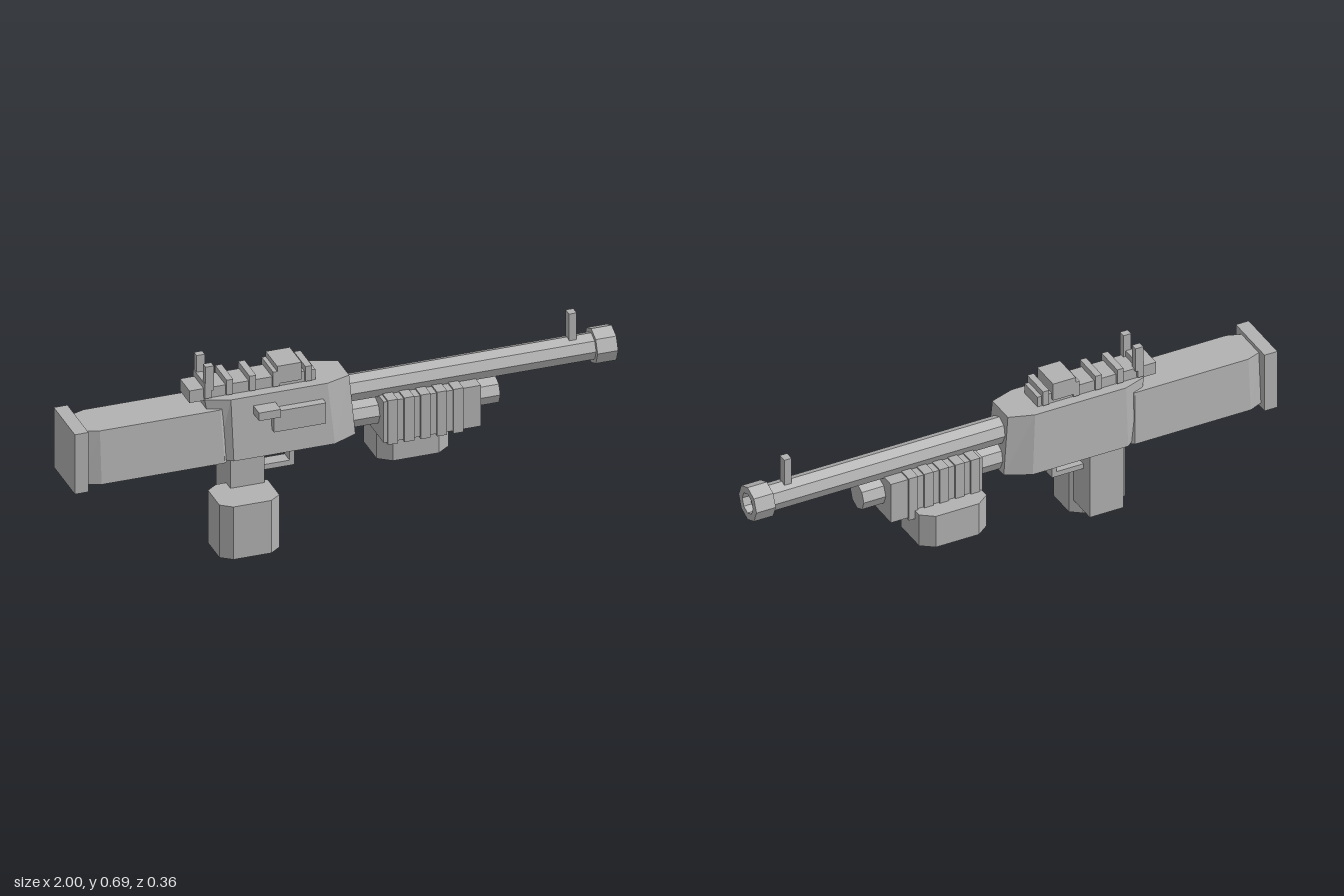
import * as THREE from 'three';

const MID = -0.022; // z of the centre plane of the main body

export function createModel() {
  const group = new THREE.Group();
  const grey = new THREE.MeshStandardMaterial({ color: 0xb2b2b2, flatShading: true });
  grey.name = 'plain grey';

  const add = (name, geometry) => {
    const mesh = new THREE.Mesh(geometry, grey);
    mesh.name = name;
    group.add(mesh);
    return mesh;
  };

  // Box given by its limits on each axis
  const box = (name, x0, x1, y0, y1, z0, z1) => {
    const mesh = add(name, new THREE.BoxGeometry(x1 - x0, y1 - y0, z1 - z0));
    mesh.position.set((x0 + x1) / 2, (y0 + y1) / 2, (z0 + z1) / 2);
  };

  // Eight-sided plan outline: half width hw, ends cut in by c0/c1 to half widths e0/e1
  const outline = (x0, x1, c0, c1, hw, e0, e1, zc = MID) => {
    const side = [[x0, e0], [x0 + c0, hw], [x1 - c1, hw], [x1, e1]];
    const back = side.map(([x, z]) => [x, -z]).reverse();
    return [...side, ...back].map(([x, z]) => [x, z + zc]);
  };

  // Solid between a bottom and a top outline
  const loft = (name, bottom, top, y0, y1) => {
    const pos = [];
    const n = bottom.length;
    const b = (i) => [bottom[i % n][0], y0, bottom[i % n][1]];
    const t = (i) => [top[i % n][0], y1, top[i % n][1]];
    for (let i = 0; i < n; i++) {
      pos.push(...b(i), ...b(i + 1), ...t(i + 1), ...b(i), ...t(i + 1), ...t(i));
      if (i > 0 && i < n - 1) {
        pos.push(...t(0), ...t(i), ...t(i + 1), ...b(0), ...b(i + 1), ...b(i));
      }
    }
    const geometry = new THREE.BufferGeometry();
    geometry.setAttribute('position', new THREE.Float32BufferAttribute(pos, 3));
    geometry.computeVertexNormals();
    add(name, geometry);
  };

  // Eight-sided bar along x
  const bar = (name, x0, x1, y, r) => {
    const mesh = add(name, new THREE.CylinderGeometry(r, r, x1 - x0, 8));
    mesh.rotation.z = -Math.PI / 2;
    mesh.position.set((x0 + x1) / 2, y, MID);
  };

  // Receiver and stock, both narrowing towards the top
  loft('receiver',
    outline(-0.47, 0.04, 0.05, 0.09, 0.108, 0.07, 0.065),
    outline(-0.508, 0.02, 0.085, 0.09, 0.087, 0.057, 0.057), 0.328, 0.557);
  loft('stock',
    outline(-0.96, -0.44, 0.06, 0.01, 0.1, 0.075, 0.09),
    outline(-0.96, -0.45, 0.06, 0.01, 0.082, 0.06, 0.075), 0.322, 0.522);
  box('buttPlate', -1, -0.95, 0.305, 0.537, -0.128, 0.083);

  // Barrel, hollow muzzle and lower tube
  bar('barrel', -0.02, 0.94, 0.476, 0.05);
  bar('lowerTube', -0.02, 0.575, 0.373, 0.05);
  const profile = [[0, 0], [0.066, 0], [0.066, 0.075], [0.039, 0.075], [0.039, 0.045], [0, 0.045]];
  const muzzle = add('muzzle', new THREE.LatheGeometry(
    profile.map(([r, h]) => new THREE.Vector2(r, h)), 8));
  muzzle.rotation.z = -Math.PI / 2;
  muzzle.position.set(0.925, 0.476, MID);
  box('frontSight', 0.838, 0.866, 0.5, 0.623, -0.039, -0.005);

  // Ribbed fore grip with a chamfered drum underneath
  box('foreGrip', 0.135, 0.49, 0.287, 0.446, MID - 0.088, MID + 0.088);
  for (let i = 0; i < 5; i++) {
    const x = 0.148 + i * 0.06;
    box('foreGripRib', x, x + 0.036, 0.28, 0.452, MID - 0.095, MID + 0.095);
  }
  const drum = outline(0.138, 0.4, 0.047, 0.047, 0.101, 0.066, 0.066, -0.08);
  loft('foreDrum', drum, drum, 0.185, 0.313);

  // Grip, magazine and trigger guard
  box('gripNeck', -0.42, -0.295, 0.19, 0.34, -0.094, 0.052);
  box('grip', -0.42, -0.29, 0.052, 0.3, -0.094, 0.027);
  const magazine = outline(-0.497, -0.278, 0.04, 0.04, 0.087, 0.057, 0.057, 0.095);
  loft('magazine', magazine, magazine, 0, 0.205);
  box('triggerGuardBase', -0.3, -0.168, 0.227, 0.247, MID - 0.025, MID + 0.025);
  box('triggerGuardPost', -0.186, -0.168, 0.247, 0.34, MID - 0.025, MID + 0.025);

  // Side port and charging handle
  box('sidePort', -0.278, -0.088, 0.422, 0.502, 0.05, 0.101);
  box('chargingHandle', -0.342, -0.262, 0.49, 0.521, 0.05, 0.125);

  // Top rail with cross ribs, a raised block and twin rear posts
  box('rail', -0.56, -0.1, 0.55, 0.597, -0.07, 0.025);
  for (const x of [-0.508, -0.428, -0.344, -0.258, -0.14]) {
    box('railRib', x, x + 0.024, 0.562, 0.62, -0.08, 0.036);
  }
  box('railBlock', -0.243, -0.155, 0.572, 0.64, -0.08, 0.036);
  for (const side of [-1, 1]) {
    const z = MID + side * 0.045;
    box('rearSightPost', -0.505, -0.475, 0.59, 0.685, z - 0.013, z + 0.013);
  }
  return group;
}
